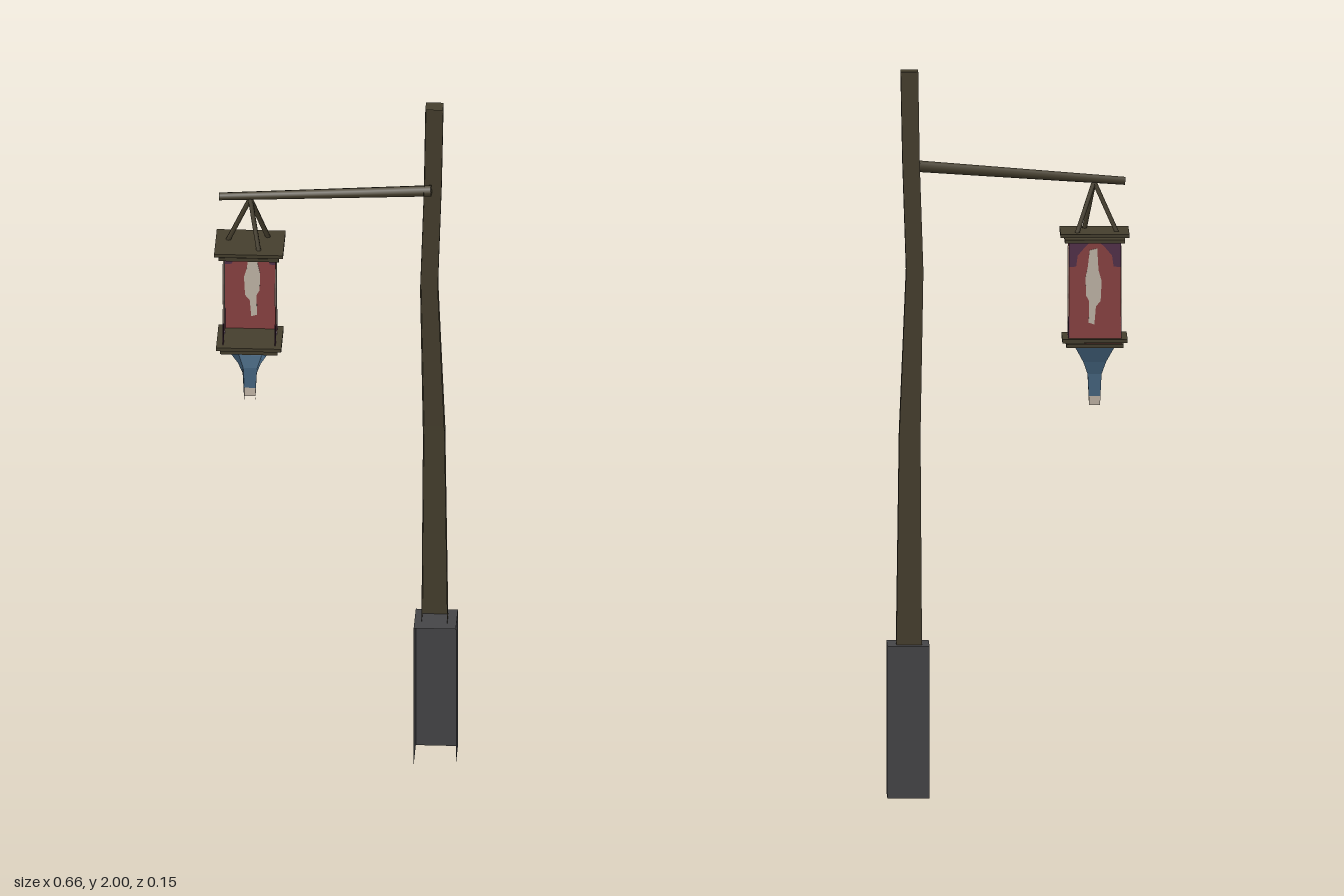
import * as THREE from 'three';

const mat = (name, color) => {
  const m = new THREE.MeshStandardMaterial({ color, side: THREE.DoubleSide });
  m.name = name;
  return m;
};

// Square tube through rings [y, x0, x1, z0, z1], left open towards +z
function openShell(rings, capped) {
  const pos = [];
  const quad = (a, b, c, d) => pos.push(...a, ...b, ...c, ...a, ...c, ...d);
  const corners = ([y, x0, x1, z0, z1]) => [[x1, y, z1], [x1, y, z0], [x0, y, z0], [x0, y, z1]];
  for (let i = 0; i < rings.length - 1; i++) {
    const a = corners(rings[i]), b = corners(rings[i + 1]);
    for (let k = 0; k < 3; k++) quad(a[k], a[k + 1], b[k + 1], b[k]);
  }
  if (capped) quad(...corners(rings[rings.length - 1]));
  const g = new THREE.BufferGeometry();
  g.setAttribute('position', new THREE.Float32BufferAttribute(pos, 3));
  g.computeVertexNormals();
  return g;
}

// Tapered rod between two points
function rod(from, to, r0, r1, sides) {
  const a = new THREE.Vector3(...from), b = new THREE.Vector3(...to);
  const d = b.clone().sub(a);
  const g = new THREE.CylinderGeometry(r1, r0, d.length(), sides);
  g.applyQuaternion(new THREE.Quaternion().setFromUnitVectors(new THREE.Vector3(0, 1, 0), d.normalize()));
  g.translate(...a.add(b).multiplyScalar(0.5).toArray());
  return g;
}

// Thin painted plate that shows on both sides of a panel
function plate(points, depth) {
  const shape = new THREE.Shape(points.map(([x, y]) => new THREE.Vector2(x, y)));
  return new THREE.ExtrudeGeometry(shape, { depth, bevelEnabled: false }).translate(0, 0, -depth / 2);
}

export function createModel() {
  const model = new THREE.Group();
  model.name = 'hangingLanternPost';
  const wood = mat('dark wood', 0x453e2d);
  const stone = mat('grey stone', 0x454547);
  const red = mat('red paper', 0x8a4242);
  const purple = mat('purple trim', 0x522f4a);
  const white = mat('pale emblem', 0xc2b6a8);
  const blue = mat('blue cloth', 0x456580);
  const add = (name, geometry, material, parent = model) => {
    const m = new THREE.Mesh(geometry, material);
    m.name = name;
    parent.add(m);
    return m;
  };

  // Stone foot and slightly crooked post
  add('foot', openShell([[0, 0.215, 0.33, -0.045, 0.07], [0.42, 0.215, 0.33, -0.045, 0.07]], true), stone);
  add('post', openShell([
    [0.42, 0.235, 0.305, -0.018, 0.047],
    [1.0, 0.239, 0.297, -0.016, 0.045],
    [1.45, 0.231, 0.278, -0.012, 0.041],
    [1.75, 0.241, 0.288, -0.01, 0.039],
    [2.0, 0.245, 0.293, -0.008, 0.037],
  ], true), wood);

  // Arm and hanging straps
  add('arm', rod([-0.32, 1.697, -0.005], [0.26, 1.738, 0.011], 0.011, 0.016, 8), wood);
  for (const [x, z] of [[-0.3, -0.018], [-0.185, -0.04], [-0.208, 0.046]])
    add('strap', rod([x, 1.55, z], [-0.235, 1.695, 0], 0.007, 0.007, 6), wood);

  // Lantern
  const lantern = new THREE.Group();
  lantern.name = 'lantern';
  lantern.position.x = -0.236;
  model.add(lantern);
  for (const [y, w, d] of [[1.555, 0.188, 0.148], [1.538, 0.164, 0.124], [1.264, 0.178, 0.138], [1.249, 0.156, 0.116]])
    add('framePlate', new THREE.BoxGeometry(w, 0.01, d).translate(0, y, 0), wood, lantern);

  // Paper panel with painted corners and emblem
  const panel = (name, w, cornersBelow) => {
    const g = new THREE.Group();
    g.name = name;
    const h = 0.285, x = w / 2;
    add('paper', new THREE.PlaneGeometry(w, h), red, g);
    for (const s of [1, -1]) {
      const corner = [[x, h / 2], [x * 0.1, h / 2], [x * 0.4, 0.122], [x * 0.66, 0.1], [x * 0.72, 0.07], [x, 0.068]];
      const c = add('cornerPaint', plate(corner.map(([a, b]) => [a * s, b]), 0.003), purple, g);
      if (cornersBelow) c.rotation.z = Math.PI;
    }
    const outline = [[-0.09, 0.12], [0.2, 0.115], [0.27, 0.07], [0.36, 0.04], [0.34, -0.01], [0.22, -0.025],
      [0.24, -0.085], [0.02, -0.09], [-0.04, -0.04], [-0.22, -0.025], [-0.26, 0.03], [-0.14, 0.06]];
    add('emblem', plate(outline.map(([a, b]) => [a * x, b]), 0.005), white, g);
    g.position.y = 1.398;
    lantern.add(g);
    return g;
  };
  panel('backPanel', 0.142, false).position.z = -0.05;
  for (const s of [1, -1]) {
    const p = panel('sidePanel', 0.1, true);
    p.position.x = s * 0.071;
    p.rotation.y = s * Math.PI / 2;
  }

  // Flared cloth tail with a pale end
  const ring = (y, x, z) => [y, -x, x, -z, z];
  add('tail', openShell([ring(1.105, 0.016, 0.014), ring(1.165, 0.019, 0.015), ring(1.2, 0.031, 0.024), ring(1.25, 0.057, 0.044)]), blue, lantern);
  add('tailEnd', openShell([ring(1.08, 0.015, 0.013), ring(1.105, 0.016, 0.014)]), white, lantern);
  return model;
}
